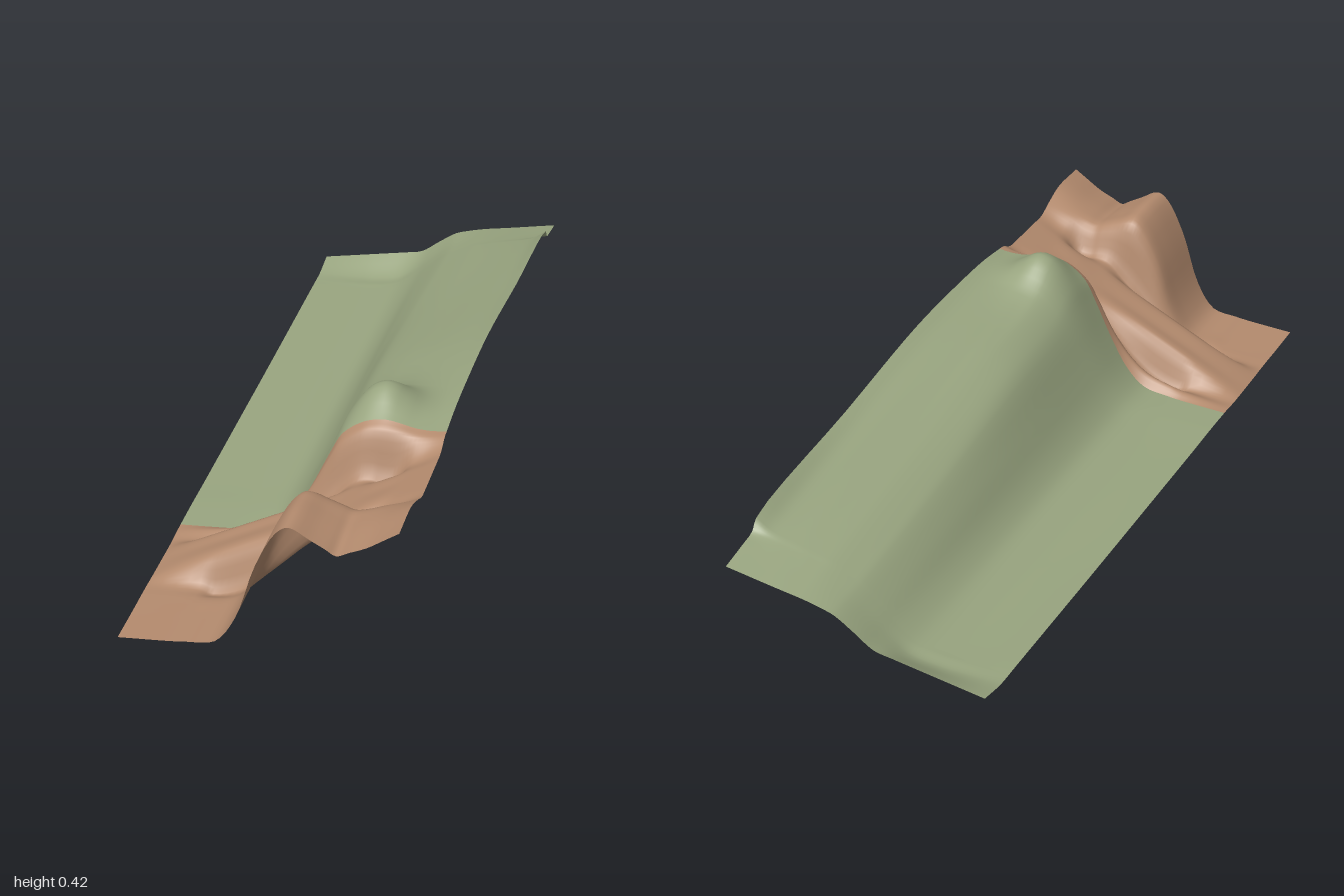
import * as THREE from 'three';

// x stations shared by every cross-section of the land
const X = [-0.335, -0.205, -0.17, -0.1, -0.05, 0, 0.05, 0.08, 0.13, 0.165, 0.19, 0.22, 0.26, 0.3, 0.335];

// straight ramp crossing the cutting, and the ditch on each side of it
const ramp = X.map((x) => 0.005 + 0.5 * (x + 0.335));
const ditch = [0.006, 0.014, 0.003, 0.026, 0.065, 0.113, 0.163, 0.19, 0.238, 0.245, 0.241, 0.246, 0.298, 0.322, 0.342];
const frontHill = [0.005, 0.014, 0.018, 0.03, 0.1, 0.248, 0.343, 0.362, 0.336, 0.317, 0.303, 0.316, 0.334, 0.36, 0.383];
const border = [0.01, 0.018, 0.022, 0.035, 0.08, 0.165, 0.27, 0.325, 0.363, 0.374, 0.376, 0.371, 0.362, 0.36, 0.364];

// bare earth: [z, heights], from back to front
const earthSections = [
  [0.49, border],
  [0.515, [0.009, 0.03, 0.04, 0.062, 0.1, 0.165, 0.258, 0.308, 0.345, 0.354, 0.355, 0.353, 0.35, 0.353, 0.36]],
  [0.555, ditch],
  [0.6, ramp],
  [0.65, ramp],
  [0.72, ramp],
  [0.765, ditch],
  [0.81, [0.006, 0.014, 0.018, 0.03, 0.098, 0.235, 0.325, 0.348, 0.334, 0.322, 0.314, 0.32, 0.335, 0.348, 0.36]],
  [0.88, [0.005, 0.014, 0.018, 0.03, 0.1, 0.248, 0.343, 0.363, 0.342, 0.327, 0.317, 0.328, 0.345, 0.365, 0.382]],
  [1, frontHill],
];

// grassy bank: [z, heights], from back to front
const grassSections = [
  [-1, [0.045, 0.067, 0.073, 0.085, 0.095, 0.13, 0.163, 0.173, 0.185, 0.191, 0.195, 0.2, 0.207, 0.214, 0.22]],
  [-0.92, [0.03, 0.032, 0.034, 0.046, 0.078, 0.122, 0.162, 0.176, 0.194, 0.201, 0.206, 0.212, 0.219, 0.226, 0.234]],
  [-0.875, [0.028, 0.031, 0.033, 0.045, 0.076, 0.122, 0.164, 0.179, 0.199, 0.207, 0.213, 0.219, 0.227, 0.235, 0.244]],
  [-0.85, [0.028, 0.03, 0.032, 0.045, 0.076, 0.123, 0.166, 0.181, 0.202, 0.211, 0.217, 0.224, 0.233, 0.246, 0.27]],
  [-0.4, [0.02, 0.025, 0.028, 0.04, 0.08, 0.15, 0.208, 0.228, 0.252, 0.264, 0.272, 0.282, 0.295, 0.306, 0.322]],
  [0, [0.015, 0.022, 0.026, 0.04, 0.085, 0.165, 0.25, 0.28, 0.307, 0.32, 0.327, 0.336, 0.346, 0.356, 0.37]],
  [0.28, [0.012, 0.02, 0.024, 0.04, 0.085, 0.165, 0.26, 0.302, 0.345, 0.357, 0.362, 0.364, 0.366, 0.369, 0.377]],
  [0.395, [0.012, 0.02, 0.024, 0.04, 0.085, 0.17, 0.28, 0.343, 0.41, 0.426, 0.421, 0.402, 0.378, 0.369, 0.374]],
  [0.49, border],
];

const smoothPoints = (points, steps) =>
  new THREE.CatmullRomCurve3(points, false, 'centripetal').getPoints((points.length - 1) * steps);

// open sheet lofted smoothly through the sections
function sheet(name, sections, material) {
  const rows = sections.map(([z, ys]) =>
    smoothPoints(ys.map((y, i) => new THREE.Vector3(X[i], y, z)), 4));
  const columns = rows[0].map((_, i) => smoothPoints(rows.map((r) => r[i]), 5));
  const n = columns[0].length;
  const positions = [];
  const index = [];
  columns.forEach((column, i) => column.forEach((p, j) => {
    positions.push(p.x, Math.max(p.y, 0), p.z);
    if (i === 0 || j === 0) return;
    const d = i * n + j, c = d - 1, b = d - n, a = b - 1;
    index.push(a, b, c, b, d, c);
  }));
  const geometry = new THREE.BufferGeometry();
  geometry.setAttribute('position', new THREE.Float32BufferAttribute(positions, 3));
  geometry.setIndex(index);
  geometry.computeVertexNormals();
  const mesh = new THREE.Mesh(geometry, material);
  mesh.name = name;
  return mesh;
}

export function createModel() {
  const grass = new THREE.MeshStandardMaterial({ color: 0x99a580, side: THREE.DoubleSide });
  grass.name = 'grass green';
  const earth = new THREE.MeshStandardMaterial({ color: 0xb48b6e, side: THREE.DoubleSide });
  earth.name = 'earth brown';

  const model = new THREE.Group();
  model.name = 'hillside';
  model.add(sheet('grassBank', grassSections, grass));
  model.add(sheet('earthCutting', earthSections, earth));
  return model;
}
